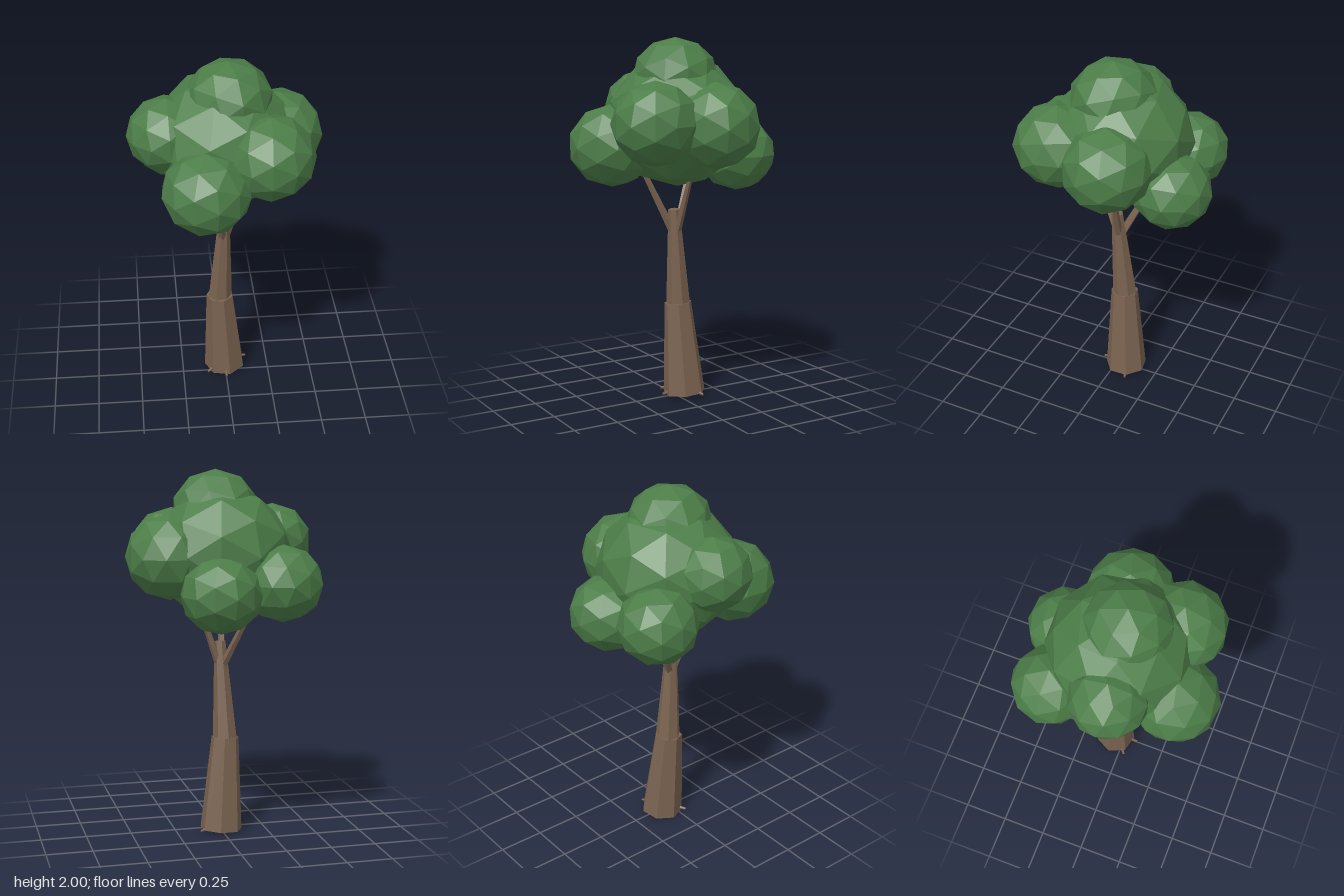
import * as THREE from 'three';

const bark = new THREE.MeshStandardMaterial({ color: 0x7a6350, flatShading: true });
const leaves = new THREE.MeshStandardMaterial({ color: 0x4c7d48, flatShading: true });
const UP = new THREE.Vector3(0, 1, 0);

// tapered low-poly limb running from one point to another
function limb(name, from, to, r0, r1, sides, spin = 0) {
  const a = new THREE.Vector3(...from);
  const b = new THREE.Vector3(...to);
  const dir = b.clone().sub(a);
  const geo = new THREE.CylinderGeometry(r1, r0, dir.length(), sides);
  geo.rotateY(spin);
  const mesh = new THREE.Mesh(geo, bark);
  mesh.name = name;
  mesh.position.copy(a).add(b).multiplyScalar(0.5);
  mesh.quaternion.setFromUnitVectors(UP, dir.normalize());
  return mesh;
}

// faceted leaf clump
function clump(name, [x, y, z], r, squash, spin) {
  const mesh = new THREE.Mesh(new THREE.IcosahedronGeometry(r, 1), leaves);
  mesh.name = name;
  mesh.position.set(x, y, z);
  mesh.scale.y = squash;
  mesh.rotation.y = spin;
  return mesh;
}

export function createModel() {
  const tree = new THREE.Group();
  tree.name = 'tree';

  // trunk in two leaning segments
  tree.add(limb('lowerTrunk', [0, 0.007, -0.06], [-0.03, 0.525, -0.033], 0.118, 0.077, 7, 0.2));
  tree.add(limb('upperTrunk', [-0.03, 0.5, -0.038], [-0.01, 1.06, 0.003], 0.07, 0.032, 7, 0.5));

  // branches fanning into the crown
  const branches = new THREE.Group();
  branches.name = 'branches';
  for (const [x, z] of [[-0.18, -0.22], [0.15, -0.035], [-0.075, 0.205]]) {
    branches.add(limb('branch', [-0.012, 0.9, -0.008], [x, 1.36, z], 0.024, 0.012, 5));
  }
  tree.add(branches);

  // little root stubs around the base
  const roots = new THREE.Group();
  roots.name = 'roots';
  for (const [x, z] of [[-0.09, 0.02], [0, 0.06], [0.105, -0.1]]) {
    const dx = x, dz = z + 0.06;
    const k = 0.022 / Math.hypot(dx, dz);
    roots.add(limb('root', [x - dx * k * 4, 0.035, z - dz * k * 4], [x + dx * k, 0.014, z + dz * k], 0.015, 0.007, 5));
  }
  tree.add(roots);

  // crown of overlapping clumps
  const crown = new THREE.Group();
  crown.name = 'crown';
  const clumps = [
    ['mainClump', [-0.015, 1.55, -0.02], 0.39, 0.93, 0.3],
    ['topClump', [0.015, 1.78, 0.01], 0.237, 0.928, 0.8],
    ['leftFrontClump', [0.21, 1.56, 0.24], 0.238, 0.95, 0.5],
    ['leftClump', [0.287, 1.54, -0.08], 0.24, 0.97, 1.3],
    ['frontClump', [-0.125, 1.42, 0.325], 0.237, 0.95, 0.2],
    ['rightClump', [-0.312, 1.61, 0.03], 0.213, 0.95, 0.6],
    ['rightBackClump', [-0.28, 1.405, -0.3], 0.215, 0.96, 1.0],
    ['backClump', [0.07, 1.357, -0.35], 0.217, 0.94, 0.15],
  ];
  for (const c of clumps) crown.add(clump(...c));
  tree.add(crown);

  return tree;
}
